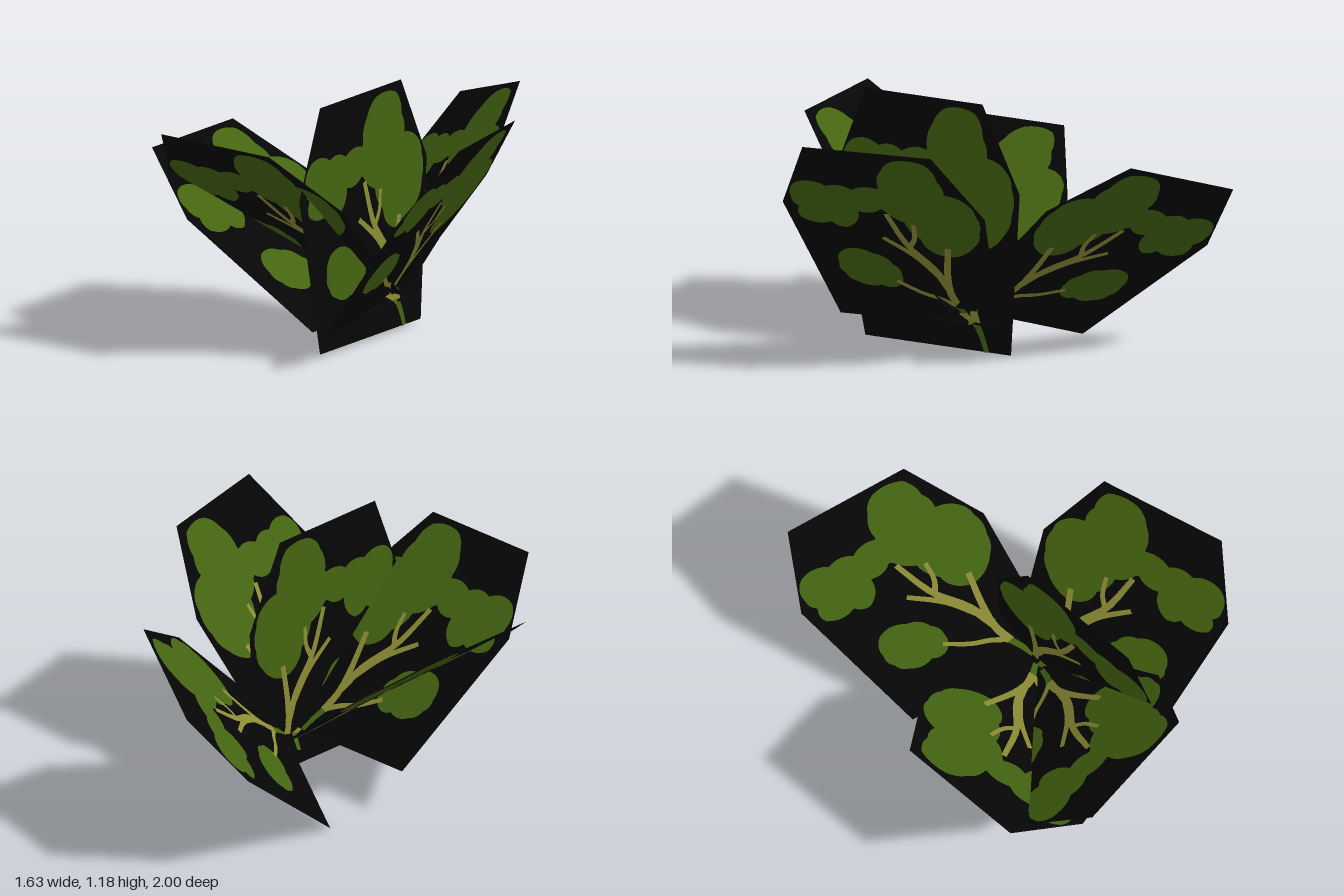
import * as THREE from 'three';
import { mergeGeometries } from 'three/addons/utils/BufferGeometryUtils.js';

const mat = (name, color) => {
  const m = new THREE.MeshStandardMaterial({ color, side: THREE.DoubleSide });
  m.name = name;
  return m;
};

// Leaf outline given clockwise by its notches, with a rounded lobe between each pair
function leaf(notches, bulge = 0.3) {
  const shape = new THREE.Shape();
  shape.moveTo(...notches[0]);
  notches.forEach(([x, y], i) => {
    const [nx, ny] = notches[(i + 1) % notches.length];
    shape.quadraticCurveTo((x + nx) / 2 - (ny - y) * bulge, (y + ny) / 2 + (nx - x) * bulge, nx, ny);
  });
  return new THREE.ShapeGeometry(shape, 5);
}

// Tapered twig following a few points
function twig(pts, w0, w1) {
  const curve = new THREE.CatmullRomCurve3(pts.map(([x, y]) => new THREE.Vector3(x, y, 0)));
  const n = 10, right = [], left = [];
  for (let i = 0; i <= n; i++) {
    const p = curve.getPoint(i / n), d = curve.getTangent(i / n);
    const w = THREE.MathUtils.lerp(w0, w1, i / n) / 2;
    right.push(new THREE.Vector2(p.x + d.y * w, p.y - d.x * w));
    left.unshift(new THREE.Vector2(p.x - d.y * w, p.y + d.x * w));
  }
  return new THREE.ShapeGeometry(new THREE.Shape([...right, ...left]));
}

// Painted detail: the same faces just above both sides of the card
function bothSides(parts, gap) {
  const g = mergeGeometries(parts);
  return mergeGeometries([g.clone().translate(0, 0, gap), g.clone().translate(0, 0, -gap)]);
}

export function createModel() {
  const black = mat('black', 0x060606);
  const green = mat('leafGreen', 0x446511);
  const olive = mat('twigOlive', 0x8d8d35);

  // Six-sided card, its lower left corner at the local origin
  const cardGeo = leaf([[0, 0], [-0.156, 0.756], [0, 1.16], [0.607, 1.16], [0.8, 0.76], [0.755, 0]], 0);

  const leafGeo = bothSides([
    // Left upper leaf
    leaf([[-0.11, 0.8], [-0.07, 0.91], [0.07, 0.9], [0.19, 0.89], [0.34, 0.9], [0.38, 0.76],
      [0.31, 0.77], [0.2, 0.74], [0.13, 0.62], [0.06, 0.65], [-0.08, 0.66], [-0.08, 0.74]]),
    // Middle and right upper leaves
    leaf([[0.32, 0.77], [0.32, 0.92], [0.35, 1.04], [0.42, 1.12], [0.57, 1.11], [0.61, 1], [0.63, 0.91],
      [0.73, 0.86], [0.76, 0.78], [0.76, 0.66], [0.72, 0.56], [0.6, 0.47], [0.51, 0.5], [0.47, 0.58], [0.41, 0.69]], 0.2),
    // Small lower leaf
    leaf([[0.05, 0.36], [0.09, 0.46], [0.22, 0.45], [0.31, 0.38], [0.34, 0.31], [0.31, 0.23],
      [0.23, 0.23], [0.12, 0.24], [0.07, 0.29]]),
    // Green foot of the stem
    twig([[0.63, 0.0], [0.605, 0.07], [0.575, 0.13]], 0.024, 0.034),
  ], 0.002);

  // Forked twigs
  const twigGeo = bothSides([
    twig([[0.58, 0.12], [0.555, 0.22], [0.56, 0.34], [0.59, 0.53]], 0.042, 0.028),
    twig([[0.57, 0.13], [0.5, 0.17], [0.42, 0.2], [0.31, 0.27]], 0.028, 0.022),
    twig([[0.555, 0.24], [0.5, 0.38], [0.4, 0.53], [0.33, 0.74]], 0.045, 0.026),
    twig([[0.53, 0.31], [0.43, 0.45], [0.29, 0.57]], 0.034, 0.024),
    twig([[0.41, 0.52], [0.44, 0.58], [0.45, 0.68]], 0.028, 0.02),
  ], 0.003);

  // Cards: lower corner, direction along the bottom edge, direction up the card
  const cards = [
    ['backSpray', [-0.46, 0, -0.17], [0.861, 0.315, 0.397], [0.077, 0.697, -0.714]],
    ['frontSpray', [-0.58, 0.21, 0.17], [1, -0.012, -0.012], [0.017, 0.7, 0.714]],
    ['leftSpray', [0.168, 0.13, 0.735], [-0.215, -0.017, -0.977], [0.556, 0.819, -0.138]],
    ['uprightSpray', [0.083, 0.016, 0.655], [0, 0, -1], [0, 1, 0]],
    ['rightSpray', [0.097, 0.14, 0.73], [0, 0, -1], [-0.787, 0.617, 0]],
  ];

  const root = new THREE.Group();
  root.name = 'leafyPlant';
  for (const [name, origin, along, up] of cards) {
    const u = new THREE.Vector3(...along).normalize();
    const n = u.clone().cross(new THREE.Vector3(...up)).normalize();
    const v = n.clone().cross(u);
    const spray = new THREE.Group();
    spray.name = name;
    spray.quaternion.setFromRotationMatrix(new THREE.Matrix4().makeBasis(u, v, n));
    spray.position.set(...origin);
    for (const [part, geo, m] of [['card', cardGeo, black], ['leaves', leafGeo, green], ['twigs', twigGeo, olive]]) {
      const mesh = new THREE.Mesh(geo, m);
      mesh.name = part;
      spray.add(mesh);
    }
    root.add(spray);
  }
  return root;
}
